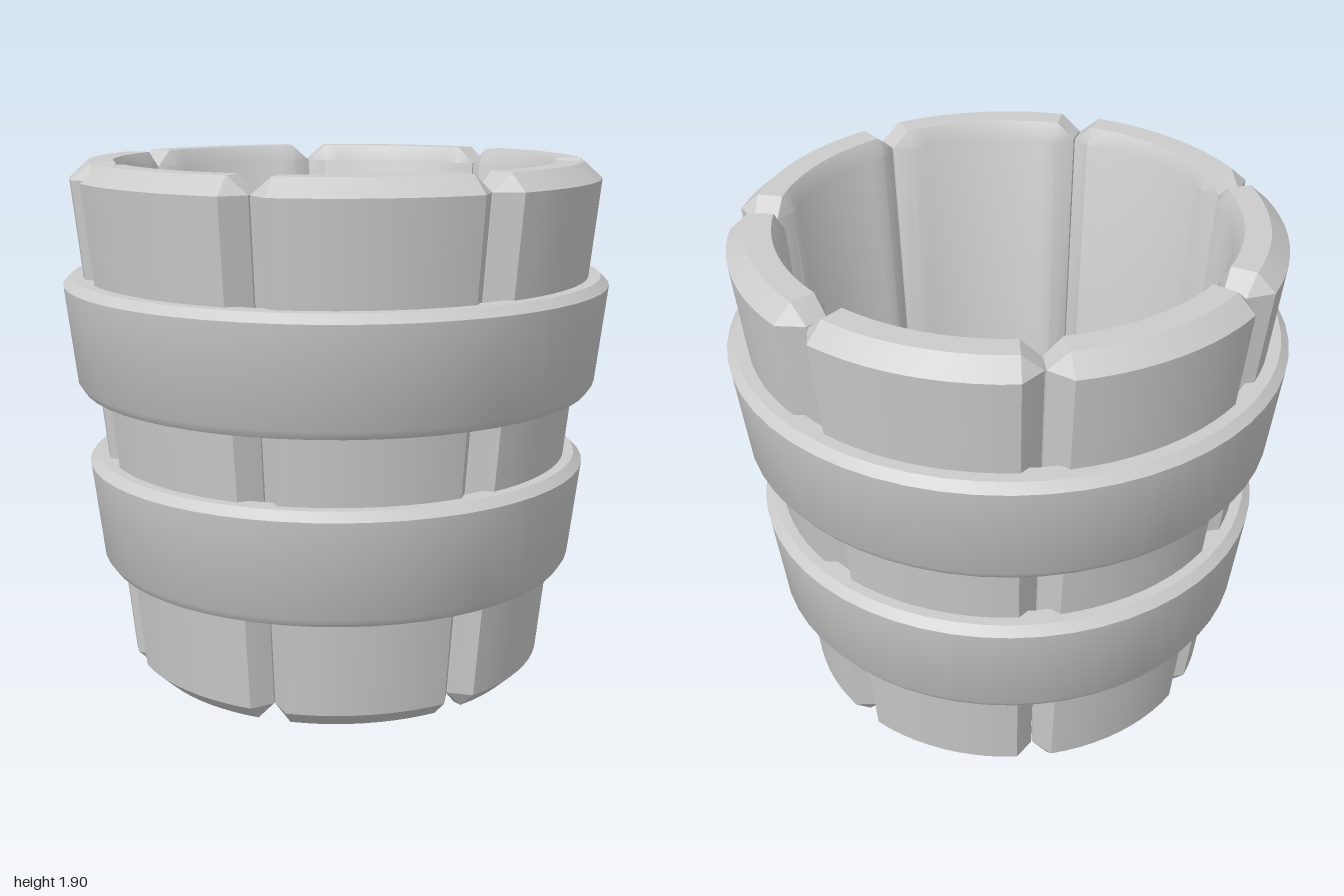
import * as THREE from 'three';
import { toCreasedNormals } from 'three/addons/utils/BufferGeometryUtils.js';

const STAVES = 7, ARC = 10;
const HALF = Math.PI / STAVES - 0.003; // half angle of one stave
const CHAMFER = 0.08;                  // angular chamfer of the stave ends
const material = new THREE.MeshStandardMaterial({ color: 0xcccccc });

// Closed outline of one stave at height y; the tips pull in where it is capped
function staveSection(y, outer, inner, capped) {
  const a = HALF - CHAMFER, tip = capped ? a : HALF;
  const cut = capped ? 0 : 0.07, innerCut = capped ? 0 : 0.04;
  const polar = [];
  for (let i = 0; i <= ARC; i++) polar.push([-a + (2 * a * i) / ARC, outer]);
  polar.push([tip, outer - cut], [tip, inner + innerCut]);
  for (let i = 0; i <= ARC; i++) polar.push([a - (2 * a * i) / ARC, inner]);
  polar.push([-tip, inner + innerCut], [-tip, outer - cut]);
  return polar.map(([t, r]) => [r * Math.cos(t), y, -r * Math.sin(t)]);
}

// Curved, flaring plank with chamfered edges, lofted through four sections
function staveGeometry() {
  const rings = [
    staveSection(0, 0.715, 0.68, true),
    staveSection(0.06, 0.778, 0.65, false),
    staveSection(1.84, 0.962, 0.77, false),
    staveSection(1.9, 0.895, 0.805, true),
  ];
  const n = rings[0].length, index = [];
  const quad = (a, b, c, d) => index.push(a, b, c, a, c, d);
  for (let k = 0; k < rings.length - 1; k++) {
    for (let i = 0; i < n; i++) {
      const j = (i + 1) % n;
      quad(k * n + i, k * n + j, (k + 1) * n + j, (k + 1) * n + i);
    }
  }
  // flat ends between the outer and inner arcs
  const top = (rings.length - 1) * n, last = 2 * ARC + 3;
  for (let i = 0; i < ARC; i++) {
    quad(top + i, top + i + 1, top + last - i - 1, top + last - i);
    quad(last - i, last - i - 1, i + 1, i);
  }
  const geometry = new THREE.BufferGeometry();
  geometry.setAttribute('position', new THREE.Float32BufferAttribute(rings.flat(2), 3));
  geometry.setIndex(index);
  return toCreasedNormals(geometry, 0.5);
}

// Flaring band with chamfered outer edges
function hoop(name, y0, y1, r0, r1) {
  const profile = [
    [r0 - 0.1, y0], [r0 - 0.02, y0], [r0, y0 + 0.03],
    [r1, y1 - 0.03], [r1 - 0.03, y1], [r1 - 0.1, y1], [r0 - 0.1, y0],
  ].map(([x, y]) => new THREE.Vector2(x, y));
  const geometry = toCreasedNormals(new THREE.LatheGeometry(profile, 56), 0.5);
  const mesh = new THREE.Mesh(geometry, material);
  mesh.name = name;
  return mesh;
}

export function createModel() {
  const model = new THREE.Group();
  model.name = 'bucket';

  // ring of staves, with one joint on the +x axis
  const staves = new THREE.Group();
  staves.name = 'staves';
  const geometry = staveGeometry();
  for (let k = 0; k < STAVES; k++) {
    const stave = new THREE.Mesh(geometry, material);
    stave.name = 'stave' + (k + 1);
    stave.rotation.y = ((k + 0.5) * 2 * Math.PI) / STAVES;
    staves.add(stave);
  }
  model.add(staves);

  // two bands around the staves
  model.add(hoop('lowerHoop', 0.42, 0.83, 0.885, 0.926));
  model.add(hoop('upperHoop', 1.08, 1.49, 0.96, 1.0));

  // recessed floor
  const floor = new THREE.Mesh(new THREE.CylinderGeometry(0.71, 0.71, 0.05, 48), material);
  floor.name = 'floor';
  floor.position.y = 0.2;
  model.add(floor);

  return model;
}
